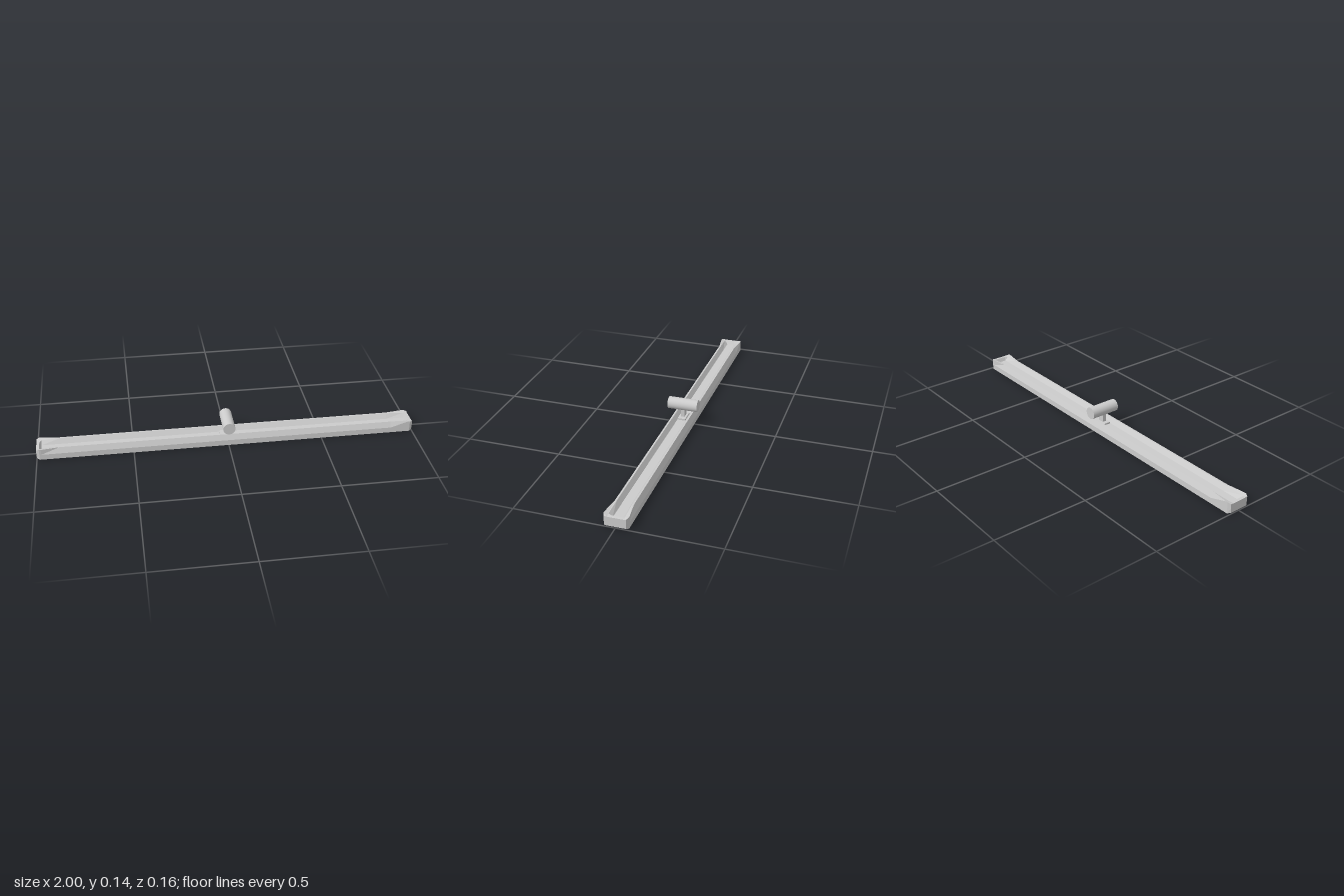
import * as THREE from 'three';

const material = new THREE.MeshStandardMaterial({ color: 0xcccccc, flatShading: true });
const smooth = new THREE.MeshStandardMaterial({ color: 0xcccccc });

// Half cross-section [z, y] from the bottom edge over the rim to the channel floor
const middle = [[0.06, 0], [0.06, 0.03], [0.047, 0.06], [0.038, 0.06], [0.022, 0.035]];
const flared = [[0.06, 0], [0.06, 0.03], [0.06, 0.06], [0.04, 0.054], [0.022, 0.035]];
const wall = [[0.06, 0], [0.06, 0.03], [0.06, 0.06], [0.04, 0.054], [0.022, 0.054]];
const tip = [[0.05, 0.006], [0.052, 0.03], [0.052, 0.055], [0.036, 0.053], [0.022, 0.053]];

// Joins mirrored sections along x and closes both ends
function loft(stations) {
  const rings = stations.map(([x, half]) => [
    ...half.map(([z, y]) => [x, y, z]),
    ...half.slice().reverse().map(([z, y]) => [x, y, -z]),
  ]);
  const n = rings[0].length;
  const out = [];
  const tri = (a, b, c) => out.push(...a, ...b, ...c);
  for (let i = 0; i < rings.length - 1; i++) {
    for (let j = 0; j < n; j++) {
      const k = (j + 1) % n;
      const a = rings[i][j], b = rings[i + 1][j], c = rings[i + 1][k], d = rings[i][k];
      tri(a, b, c);
      tri(a, c, d);
    }
  }
  const first = rings[0], last = rings[rings.length - 1];
  const center = (ring) => [ring[0][0], 0.03, 0];
  for (let j = 0; j < n; j++) {
    const k = (j + 1) % n;
    tri(center(first), first[j], first[k]);
    tri(center(last), last[k], last[j]);
  }
  const geometry = new THREE.BufferGeometry();
  geometry.setAttribute('position', new THREE.Float32BufferAttribute(out, 3));
  geometry.computeVertexNormals();
  return geometry;
}

export function createModel() {
  const model = new THREE.Group();
  const add = (name, geometry, mat, x, y, z) => {
    const mesh = new THREE.Mesh(geometry, mat);
    mesh.name = name;
    mesh.position.set(x, y, z);
    model.add(mesh);
    return mesh;
  };

  // Long bar with a channel on top and flared, chamfered ends
  const half = [[0.88, middle], [0.975, flared], [0.985, wall], [1, tip]];
  const stations = [...half.slice().reverse().map(([x, s]) => [-x, s]), ...half];
  add('channelBar', loft(stations), material, 0, 0, 0);

  // Mounting plate and stem in the channel
  add('mountingPlate', new THREE.BoxGeometry(0.08, 0.012, 0.042), material, 0, 0.038, 0);
  add('stem', new THREE.BoxGeometry(0.034, 0.052, 0.02), material, 0, 0.062, 0);

  // Round handle socket across the bar
  const socket = add('handleSocket', new THREE.CylinderGeometry(0.032, 0.032, 0.16, 32), smooth, 0, 0.111, 0);
  socket.rotation.x = Math.PI / 2;

  return model;
}
